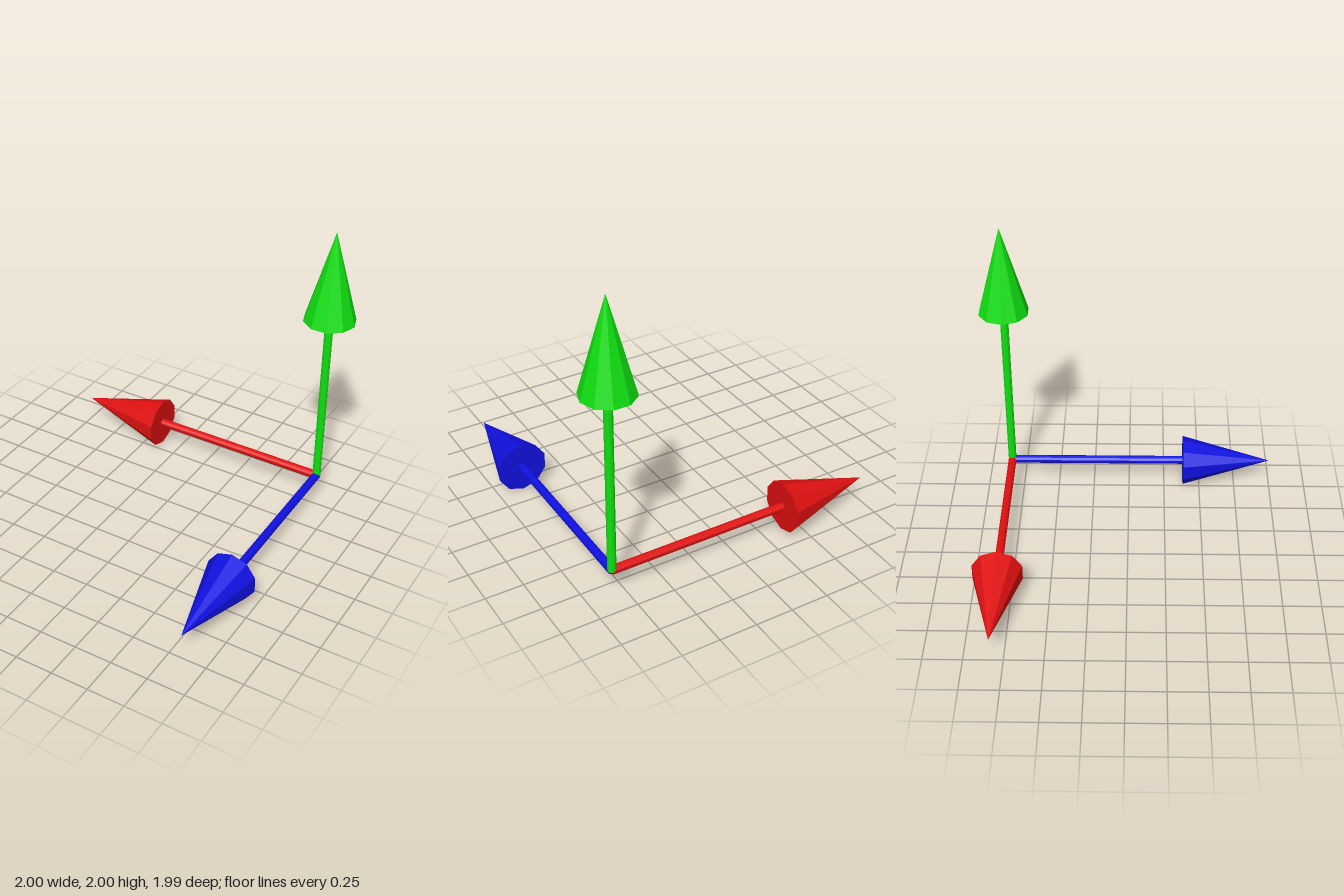
import * as THREE from 'three';

const SIDES = 10;
const LENGTH = 1.829;      // origin to arrow tip
const HEAD = 0.614;        // length of the arrow head
const HEAD_RADIUS = 0.171;
const SHAFT_RADIUS = 0.028;

// One arrow along +y: a thin shaft topped by a faceted cone
function makeArrow(name, color, thetaStart) {
  const material = new THREE.MeshStandardMaterial({ color, flatShading: true });
  const arrow = new THREE.Group();
  arrow.name = name;

  const shaftLength = LENGTH - HEAD;
  const shaft = new THREE.Mesh(
    new THREE.CylinderGeometry(SHAFT_RADIUS, SHAFT_RADIUS, shaftLength, SIDES, 1, false, thetaStart),
    material
  );
  shaft.name = name + 'Shaft';
  shaft.position.y = shaftLength / 2;

  const head = new THREE.Mesh(
    new THREE.ConeGeometry(HEAD_RADIUS, HEAD, SIDES, 1, false, thetaStart),
    material
  );
  head.name = name + 'Head';
  head.position.y = LENGTH - HEAD / 2;

  arrow.add(shaft, head);
  return arrow;
}

export function createModel() {
  const model = new THREE.Group();
  model.name = 'axisArrows';

  // Upright arrow
  const up = makeArrow('upArrow', 0xe01010, Math.PI / 2);
  up.children[0].material.color.set(0x10e010);

  // Arrow towards the model's right (-x)
  const side = makeArrow('sideArrow', 0xe01010, Math.PI / 2);
  side.rotation.z = Math.PI / 2;

  // Arrow towards the front (+z)
  const front = makeArrow('frontArrow', 0x1010e0, 0);
  front.rotation.x = Math.PI / 2;

  // All three share one corner
  for (const arrow of [up, side, front]) {
    arrow.position.set(0.829, 0.171, -0.833);
    model.add(arrow);
  }
  return model;
}
